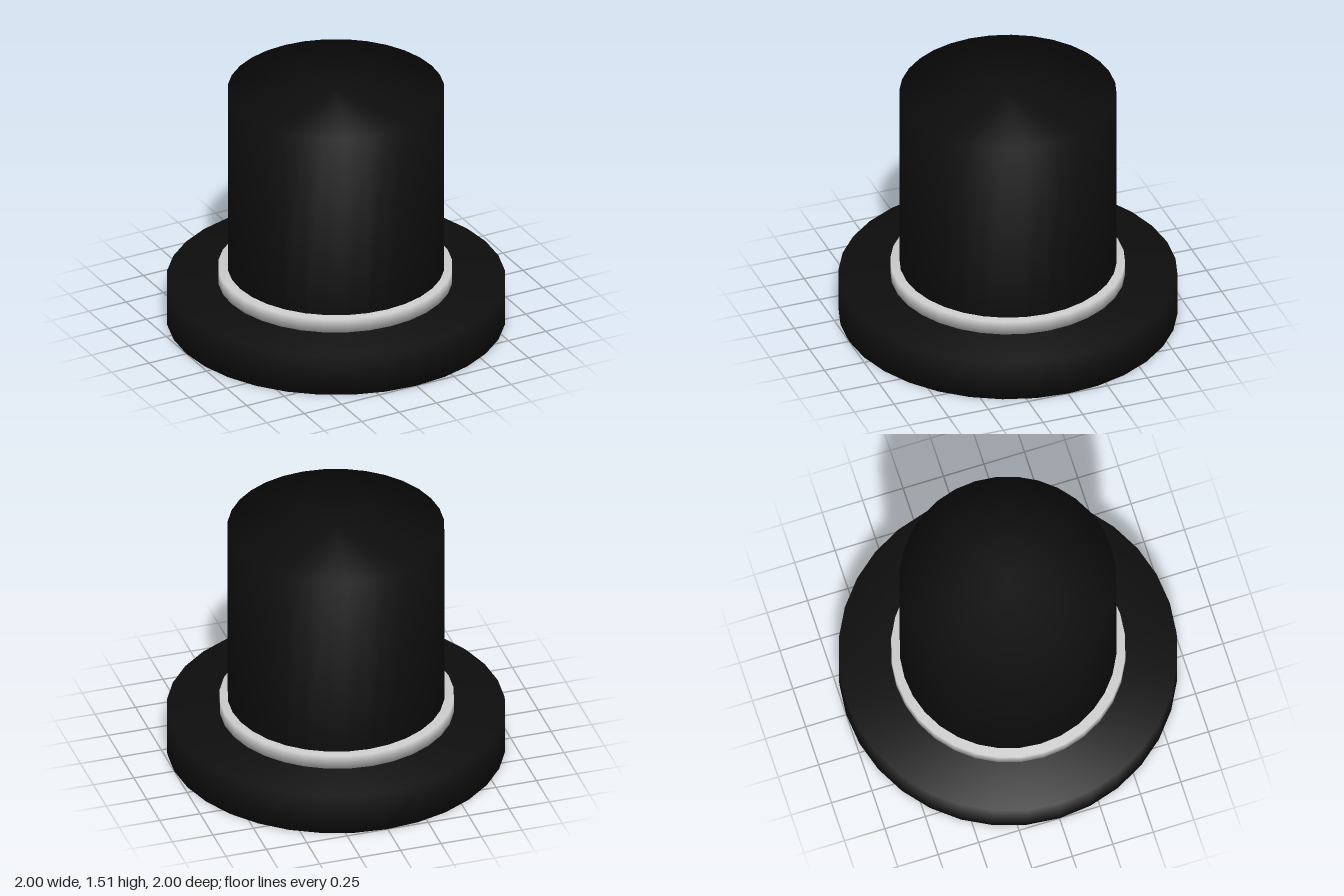
import * as THREE from 'three';
import { mergeVertices } from 'three/addons/utils/BufferGeometryUtils.js';

const SIDES = 32;
const felt = new THREE.MeshStandardMaterial({ color: 0x0e0e0e });
const ribbon = new THREE.MeshStandardMaterial({ color: 0xcccccc });

// Closed drum between two heights, with normals shared across the rims
function drum(name, radius, bottom, top, material) {
  let geometry = new THREE.CylinderGeometry(radius, radius, top - bottom, SIDES);
  geometry.deleteAttribute('normal');
  geometry.deleteAttribute('uv');
  geometry = mergeVertices(geometry, 1e-4);
  geometry.computeVertexNormals();
  const mesh = new THREE.Mesh(geometry, material);
  mesh.name = name;
  mesh.position.y = (bottom + top) / 2;
  return mesh;
}

export function createModel() {
  const hat = new THREE.Group();
  hat.name = 'topHat';

  // Thick brim and tall crown
  hat.add(drum('brim', 1, 0, 0.255, felt));
  hat.add(drum('crown', 0.64, 0.25, 1.51, felt));

  // Pale band around the foot of the crown, very slightly off centre
  const band = drum('hatBand', 0.692, 0.25, 0.342, ribbon);
  band.position.x = -0.005;
  hat.add(band);

  return hat;
}
